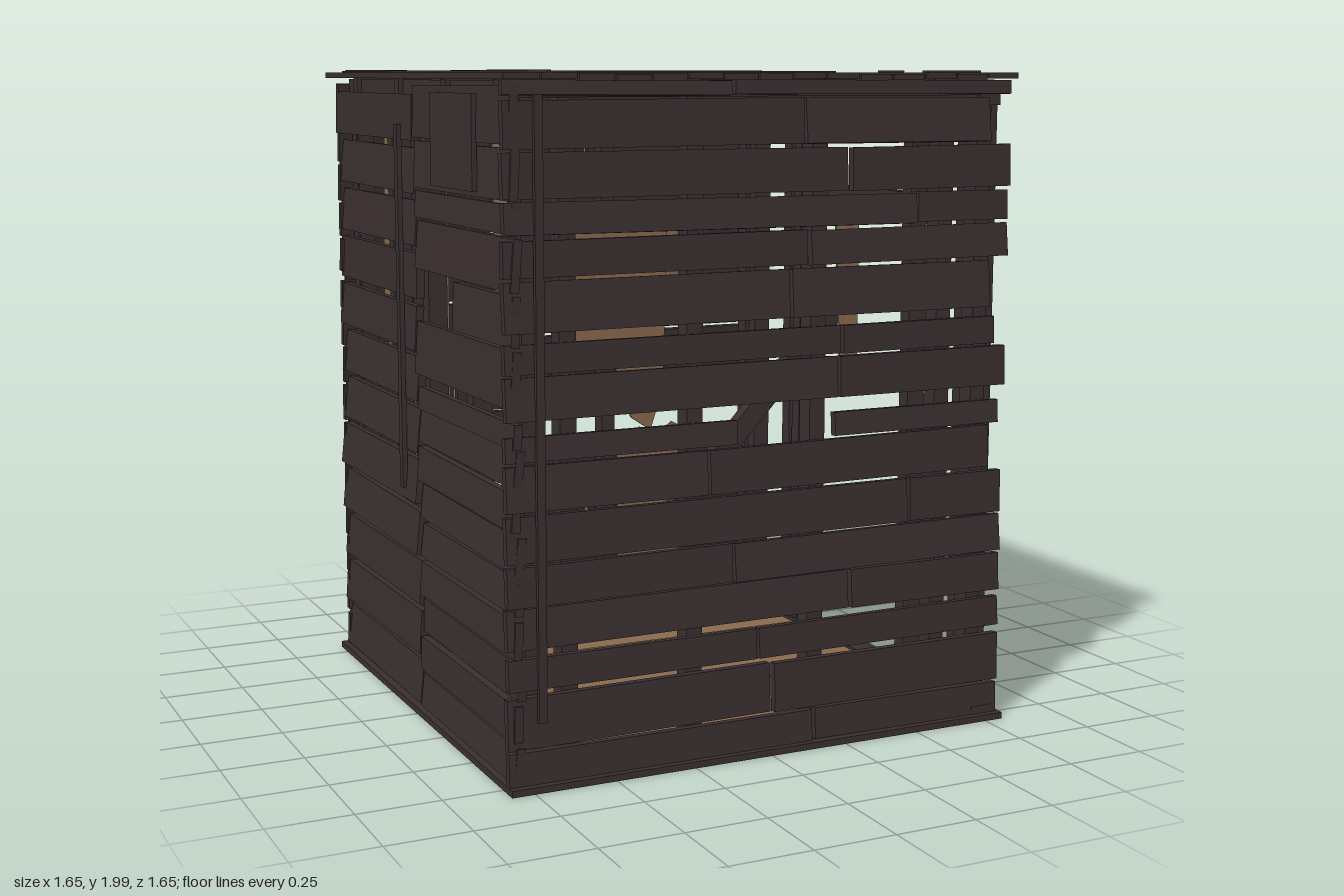
import * as THREE from 'three';

// Weathered plank shed: three boarded walls, one open framed side, flat plank roof
export function createModel() {
  const root = new THREE.Group();
  root.name = 'shed';
  const dark = new THREE.MeshStandardMaterial({ color: 0x3a2f30 });
  dark.name = 'darkWood';
  const tan = new THREE.MeshStandardMaterial({ color: 0x8a6a4f, side: THREE.DoubleSide });
  tan.name = 'tanBoard';

  let seed = 7;
  const jitter = (a) => {
    seed = (seed * 16807) % 2147483647;
    return (seed / 2147483647 - 0.5) * 2 * a;
  };

  const box = (parent, name, mat, [x0, x1], [y0, y1], [z0, z1]) => {
    const m = new THREE.Mesh(new THREE.BoxGeometry(x1 - x0, y1 - y0, z1 - z0), mat);
    m.position.set((x0 + x1) / 2, (y0 + y1) / 2, (z0 + z1) / 2);
    m.name = name;
    parent.add(m);
    return m;
  };

  // Each wall is built facing +z, then turned to its side
  const wall = (name, turn) => {
    const g = new THREE.Group();
    g.name = name;
    g.rotation.y = turn;
    root.add(g);
    return g;
  };

  // Rows: [bottom, top, [from, to], [from, to], ...]
  const planks = (g, rows) => {
    for (const [y0, y1, ...spans] of rows) {
      for (const [a, b] of spans) {
        const p = box(g, 'plank', dark, [a, b], [y0, y1], [0.772, 0.797]);
        p.rotation.z = jitter(0.006);
        p.rotation.x = -0.07 + jitter(0.05);
        p.position.z += jitter(0.006);
      }
    }
  };

  const studs = (g, list, z0 = 0.7, z1 = 0.76) => {
    for (const u of list) box(g, 'stud', dark, [u - 0.025, u + 0.025], [0.04, 1.95], [z0, z1]);
  };

  // Torn flat panel from a few outline points
  const panel = (g, pts, z = 0.69) => {
    const shape = new THREE.Shape(pts.map(([u, v]) => new THREE.Vector2(u, v)));
    const m = new THREE.Mesh(
      new THREE.ExtrudeGeometry(shape, { depth: 0.008, bevelEnabled: false }), tan);
    m.position.z = z;
    m.name = 'tornPanel';
    g.add(m);
  };

  // Base, floor boards and bottom plates
  box(root, 'base', dark, [-0.82, 0.81], [0, 0.02], [-0.82, 0.82]);
  for (let i = 0; i < 14; i++) {
    const z = -0.76 + i * 0.109;
    box(root, 'floorBoard', tan, [-0.76, 0.74], [0.02, 0.034 + jitter(0.003)], [z, z + 0.103]);
  }

  // Front wall
  const front = wall('frontWall', 0);
  const L = -0.82, R = 0.8;
  const seam = (y0, y1, s, end = R) => [y0, y1, [L, s - 0.006], [s + 0.006, end]];
  planks(front, [
    seam(0.02, 0.115, 0.15), seam(0.125, 0.272, 0.01), seam(0.295, 0.385, -0.04),
    seam(0.41, 0.525, 0.27), seam(0.532, 0.645, -0.12), seam(0.655, 0.785, 0.47),
    seam(0.797, 0.925, -0.2, 0.75), [0.935, 1.005, [L, -0.11], [0.21, 0.78]],
    seam(1.05, 1.17, 0.22), seam(1.178, 1.26, 0.23, 0.76), seam(1.29, 1.43, 0.06, 0.74),
    seam(1.44, 1.54, 0.12), seam(1.552, 1.64, 0.48), seam(1.65, 1.775, 0.25),
    seam(1.785, 1.915, 0.1, 0.73), seam(1.925, 1.965, -0.13),
  ]);
  studs(front, [-0.73, -0.62, -0.23, 0.17, 0.6, 0.73]);
  box(front, 'batten', dark, [-0.735, -0.71], [0.2, 1.93], [0.8, 0.815]);
  const brace = box(front, 'diagonalBrace', dark, [-0.4, 0.4], [0.97, 1.03], [0.65, 0.69]);
  brace.rotation.z = 0.82;
  panel(front, [[-0.6, 1.56], [-0.29, 1.56], [-0.3, 1.1], [-0.34, 0.98], [-0.4, 1.02],
    [-0.46, 1.2], [-0.53, 1.16], [-0.6, 1.22]]);
  panel(front, [[0.26, 1.6], [0.34, 1.58], [0.34, 1.12], [0.28, 1.16]]);

  // Back wall (u runs towards -x)
  const back = wall('backWall', Math.PI);
  planks(back, [
    seam(0.02, 0.13, 0.2), seam(0.14, 0.27, -0.3), seam(0.28, 0.4, 0.35),
    seam(0.41, 0.53, -0.1), seam(0.54, 0.66, 0.25), [0.67, 0.8, [0.12, R]],
    seam(0.81, 0.93, 0.4), seam(0.94, 1.06, -0.25), seam(1.07, 1.19, 0.15),
    seam(1.2, 1.29, -0.35), [1.32, 1.43, [L, -0.45], [-0.22, R]],
    seam(1.44, 1.55, -0.2), seam(1.56, 1.68, 0.3), seam(1.69, 1.81, -0.1),
    seam(1.82, 1.95, 0.2),
  ]);
  studs(back, [-0.73, -0.5, -0.15, 0.2, 0.55, 0.73]);
  box(back, 'batten', dark, [-0.57, -0.54], [0.15, 1.88], [0.8, 0.815]);
  box(back, 'cornerBoard', dark, [0.71, 0.78], [0.02, 1.93], [0.8, 0.815]);
  panel(back, [[-0.46, 0.04], [-0.18, 0.04], [-0.18, 0.7], [-0.22, 0.66], [-0.27, 0.72],
    [-0.33, 0.68], [-0.4, 0.73], [-0.46, 0.7]]);
  panel(back, [[-0.48, 1.22], [-0.2, 1.2], [-0.22, 1.47], [-0.33, 1.43], [-0.46, 1.5]]);

  // Wall on the -x side, gappy boards in two bays (u runs towards +z)
  const side = wall('boardedSideWall', -Math.PI / 2);
  const sideRows = [];
  for (let i = 0; i < 8; i++) {
    sideRows.push([0.025 + i * 0.12, 0.13 + i * 0.12, [0.0, 0.8]]);
  }
  for (let i = 0; i < 12; i++) {
    sideRows.push([0.025 + i * 0.16, 0.163 + i * 0.16, [-0.8, -0.012]]);
  }
  sideRows.push([1.08, 1.24, [0, 0.8]], [1.25, 1.39, [0.33, 0.8]], [1.4, 1.545, [0, 0.8]],
    [1.555, 1.635, [0, 0.8]], [1.645, 1.785, [0, 0.8]], [1.795, 1.95, [0, 0.8]],
    [0.97, 1.04, [0, 0.8]]);
  planks(side, sideRows);
  studs(side, [-0.73, -0.35, -0.02, 0.36, 0.7]);
  box(side, 'looseBoard', dark, [-0.64, -0.53], [0.05, 1.04], [0.66, 0.69]);
  const slipped = box(side, 'slippedBoard', dark, [0.0, 0.34], [0.8, 0.93], [0.67, 0.69]);
  slipped.rotation.z = -0.05;
  box(side, 'patchBoard', dark, [0.2, 0.55], [1.66, 1.93], [0.8, 0.815]);
  box(side, 'batten', dark, [-0.14, -0.11], [0.7, 1.83], [0.8, 0.815]);
  panel(side, [[0.61, 1.84], [0.4, 1.84], [0.41, 1.04], [0.47, 1.12], [0.51, 1.05],
    [0.58, 1.06], [0.62, 0.98], [0.645, 1.04]]);
  panel(side, [[0.02, 0.05], [0.33, 0.05], [0.33, 0.72], [0.25, 0.81], [0.17, 0.66],
    [0.07, 0.77], [0.02, 0.78]]);
  panel(side, [[-0.43, 1.84], [-0.6, 1.84], [-0.62, 1.5], [-0.64, 1.11], [-0.57, 1.17],
    [-0.5, 1.2], [-0.44, 1.15]]);
  for (const [u, y0, y1] of [[-0.02, 0.9, 1.75], [-0.02, 0.3, 0.7], [-0.35, 0.7, 0.95]]) {
    box(side, 'tanStrip', tan, [u - 0.015, u + 0.012], [y0, y1], [0.69, 0.699]);
  }

  // Open framed side on +x with a doorway (u runs towards -z)
  const open = wall('openSide', Math.PI / 2);
  studs(open, [-0.73, -0.665, -0.36, 0.345, 0.415, 0.68, 0.74], 0.72, 0.78);
  box(open, 'doorHeader', dark, [-0.335, 0.32], [1.54, 1.61], [0.73, 0.77]);
  box(open, 'sill', dark, [-0.8, 0.8], [0.015, 0.045], [0.71, 0.79]);
  box(open, 'topPlate', dark, [-0.77, 0.77], [1.89, 1.94], [0.71, 0.78]);
  for (const u of [-0.21, 0.22]) {
    const hook = new THREE.Mesh(new THREE.TorusGeometry(0.022, 0.006, 6, 12, 4.5), dark);
    hook.name = 'hook';
    hook.position.set(u, 1.65, 0.75);
    open.add(hook);
    box(open, 'rafterEnd', dark, [u - 0.02, u + 0.02], [1.84, 1.9], [0.7, 0.75]);
  }
  box(open, 'tanBlock', tan, [-0.21, -0.15], [1.85, 1.88], [0.6, 0.69]);

  // Top plates and roof joists
  for (const g of [front, back, side]) {
    box(g, 'bottomPlate', dark, [-0.76, 0.76], [0.02, 0.05], [0.7, 0.765]);
    box(g, 'topPlate', dark, [-0.76, 0.76], [1.92, 1.965], [0.7, 0.765]);
  }
  for (const z of [-0.64, -0.21, 0.22, 0.65]) {
    box(root, 'joist', dark, [-0.78, 0.78], [1.9, 1.968], [z - 0.02, z + 0.02]);
  }

  // Roof planks running front to back
  for (let i = 0; i < 15; i++) {
    const x = -0.825 + i * 0.109;
    const y = 1.966 + jitter(0.003);
    box(root, 'roofPlank', dark, [x, x + 0.104], [y, y + 0.018], [-0.83, 0.822]);
  }

  // Roof battens and loose strips on top
  for (const [x0, x1, z] of [[-0.82, 0.78, -0.64], [-0.8, -0.48, -0.21], [0.49, 0.78, -0.21],
    [-0.8, -0.64, 0.22], [0.7, 0.78, 0.22], [-0.8, -0.55, 0.65], [0.59, 0.78, 0.65]]) {
    box(root, 'roofBatten', dark, [x0, x1], [1.984, 1.992], [z - 0.015, z + 0.015]);
  }
  const strip = box(root, 'roofStrip', dark, [-0.79, 0.8], [1.984, 1.994], [-0.745, -0.735]);
  strip.rotation.y = 0.035;
  const strip2 = box(root, 'roofStrip', dark, [-0.68, -0.67], [1.984, 1.994], [-0.04, 0.82]);
  strip2.rotation.y = -0.04;

  return root;
}
